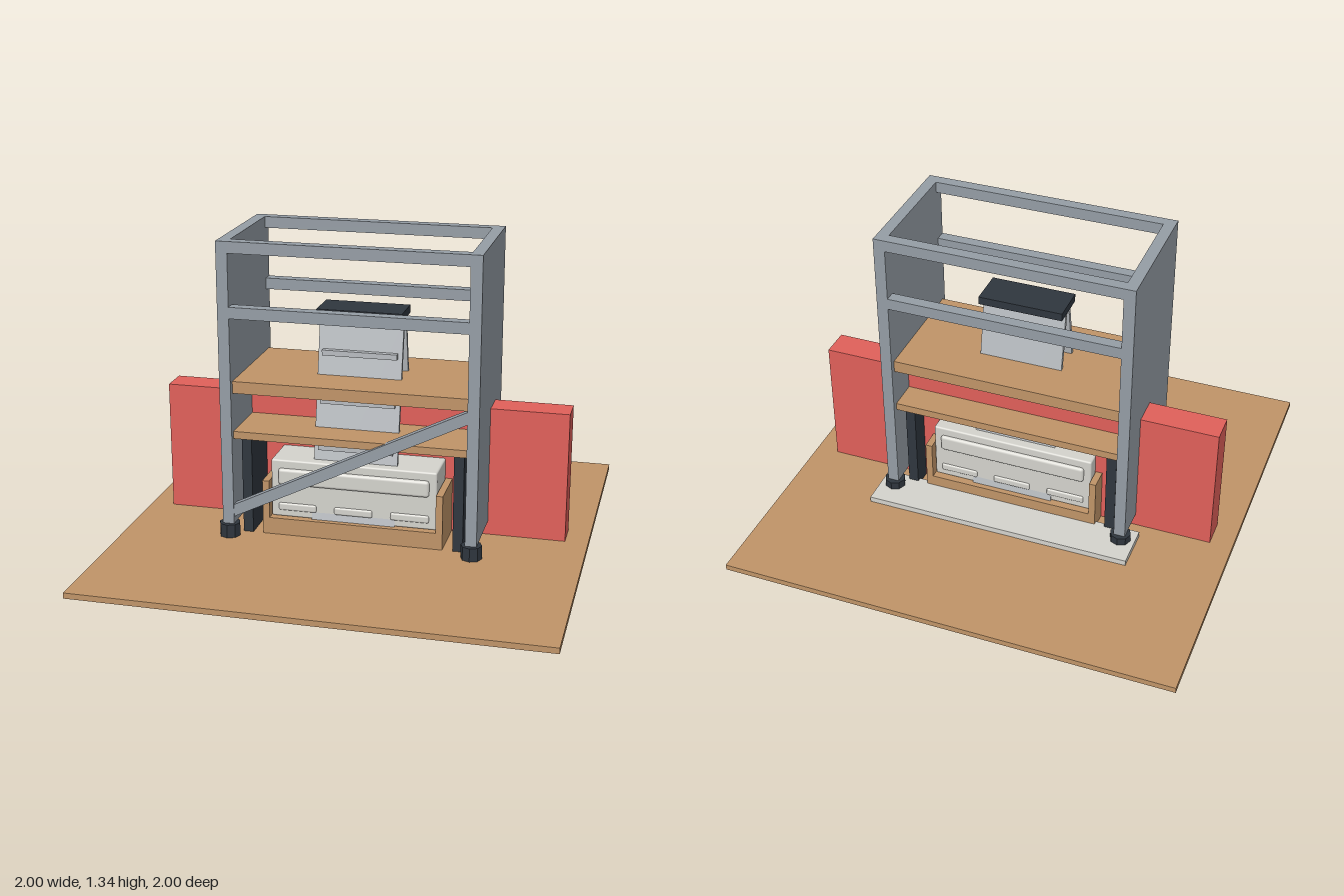
import * as THREE from 'three';
import { RoundedBoxGeometry } from 'three/addons/geometries/RoundedBoxGeometry.js';

const mat = (color) => new THREE.MeshStandardMaterial({ color });

export function createModel() {
  const model = new THREE.Group();
  const wood = mat(0xc09468), steel = mat(0x959da5), red = mat(0xe0605a);
  const dark = mat(0x2f363e), white = mat(0xd4d3cd), alloy = mat(0xb8bcc0);

  const add = (name, geometry, material, x, y, z, parent = model) => {
    const mesh = new THREE.Mesh(geometry, material);
    mesh.name = name;
    mesh.position.set(x, y, z);
    parent.add(mesh);
    return mesh;
  };
  // Box given by its lower and upper corners
  const box = (name, material, [x0, y0, z0], [x1, y1, z1], parent) =>
    add(name, new THREE.BoxGeometry(x1 - x0, y1 - y0, z1 - z0), material,
      (x0 + x1) / 2, (y0 + y1) / 2, (z0 + z1) / 2, parent);

  // Floor, wide wall block and rear slab
  box('floorBoard', wood, [-1, 0, -1], [1, 0.025, 1]);
  box('wallBlock', red, [-0.9, 0.025, -0.13], [0.9, 0.605, 0]);
  box('rearSlab', white, [-0.6, 0.025, -0.4], [0.6, 0.05, -0.2]);

  // Rack: side panels, rails, brace and feet
  const rack = new THREE.Group();
  rack.name = 'rack';
  model.add(rack);
  for (const s of [-1, 1]) {
    const side = box('sidePanel', steel, [-0.025, 0.085, -0.29], [0.025, 1.34, 0.29], rack);
    side.position.x = s * 0.535;
    for (const y of [1.29, 1.01]) {
      const rail = box('rail', steel, [-0.51, y, -0.025], [0.51, y + 0.05, 0.025], rack);
      rail.position.z = s * 0.265;
    }
    for (const z of [-0.27, 0.27]) {
      add('foot', new THREE.CylinderGeometry(0.046, 0.046, 0.06, 8).toNonIndexed(), dark, s * 0.535, 0.055, z, rack)
        .geometry.computeVertexNormals();
    }
  }
  const brace = new THREE.Shape([[-0.515, 0.115], [0.515, 0.625], [0.515, 0.68], [-0.515, 0.17]]
    .map(([x, y]) => new THREE.Vector2(x, y)));
  add('diagonalBrace', new THREE.ExtrudeGeometry(brace, { depth: 0.04, bevelEnabled: false }), steel, 0, 0, 0.245, rack);

  // Shelves and the dark supports under the lower one
  box('upperShelf', wood, [-0.51, 0.675, -0.265], [0.51, 0.728, 0.265], rack);
  box('lowerShelf', wood, [-0.51, 0.47, -0.265], [0.51, 0.503, 0.265], rack);
  for (const s of [-1, 1]) {
    const support = box('shelfSupport', dark, [-0.022, 0.025, -0.22], [0.022, 0.47, 0.22], rack);
    support.position.x = s * 0.467;
  }

  // Wooden tray holding the pale case
  box('trayBase', wood, [-0.4, 0.025, -0.22], [0.4, 0.1, 0.22]);
  for (const s of [-1, 1]) {
    const wall = box('traySide', wood, [-0.015, 0.1, -0.22], [0.015, 0.27, 0.22]);
    wall.position.x = s * 0.385;
  }
  add('case', new RoundedBoxGeometry(0.735, 0.262, 0.38, 2, 0.008), white, 0, 0.231, 0);
  for (const s of [-1, 1]) {
    add('caseRib', new RoundedBoxGeometry(0.67, 0.075, 0.03, 3, 0.014), white, 0, 0.287, s * 0.189);
    for (const x of [-0.25, 0, 0.25]) {
      add('caseBump', new RoundedBoxGeometry(0.17, 0.035, 0.02, 3, 0.009), white, x, 0.147, s * 0.187);
    }
  }

  // Folding steps: two leaning panels, a dark top and narrow treads
  const steps = new THREE.Group();
  steps.name = 'foldingSteps';
  model.add(steps);
  const zAt = (y) => 0.215 - 0.19 * y; // lean of the panels
  for (const s of [-1, 1]) {
    const leaf = new THREE.Shape([[s * zAt(0.01), 0.01], [s * zAt(0.99), 0.99],
      [s * (zAt(0.99) - 0.018), 0.99], [s * (zAt(0.01) - 0.018), 0.01]]
      .map(([z, y]) => new THREE.Vector2(-z, y)));
    const panel = add(s > 0 ? 'frontPanel' : 'rearPanel',
      new THREE.ExtrudeGeometry(leaf, { depth: 0.37, bevelEnabled: false }), alloy, -0.185, 0, 0, steps);
    panel.rotation.y = Math.PI / 2;
    const z = s * (zAt(0) - 0.01);
    box('stepFoot', dark, [-0.185, 0.001, z - 0.012], [0.185, 0.02, z + 0.012], steps);
  }
  for (const y of [0.42, 0.62, 0.825]) {
    box('tread', alloy, [-0.165, y - 0.01, zAt(y) - 0.02], [0.165, y + 0.014, zAt(y) + 0.022], steps);
  }
  box('topStep', dark, [-0.187, 0.985, -0.083], [0.187, 1.02, 0.083], steps);

  return model;
}
